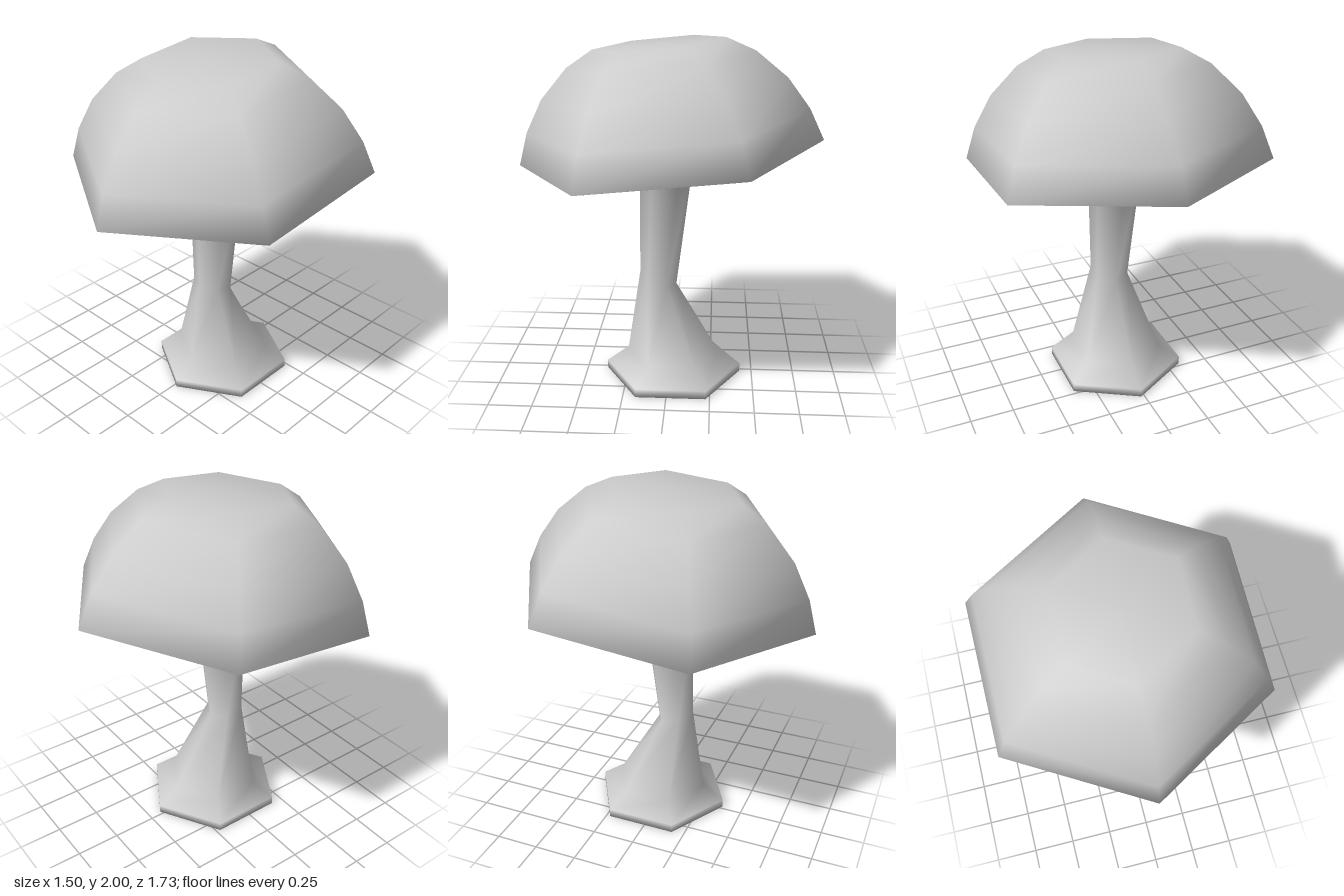
import * as THREE from 'three';

const SIDES = 6;

// Smooth skin through six-sided rings, listed from the lower end to the upper one.
// Ring: { r, x, y, z, tilt } with tilt turning the ring about the x axis.
function loft(rings, closeStart, closeEnd) {
  const positions = [];
  const index = [];
  for (const { r, x = 0, y, z = 0, tilt = 0 } of rings) {
    for (let k = 0; k < SIDES; k++) {
      const a = (k / SIDES) * Math.PI * 2;
      const d = r * Math.cos(a);
      positions.push(x + r * Math.sin(a), y - d * Math.sin(tilt), z + d * Math.cos(tilt));
    }
  }
  for (let i = 0; i < rings.length - 1; i++) {
    for (let k = 0; k < SIDES; k++) {
      const n = (k + 1) % SIDES;
      const a = i * SIDES + k, b = i * SIDES + n;
      index.push(a, b, b + SIDES, a, b + SIDES, a + SIDES);
    }
  }
  const close = (i, up) => {
    const { x = 0, y, z = 0 } = rings[i];
    const centre = positions.length / 3;
    positions.push(x, y, z);
    for (let k = 0; k < SIDES; k++) {
      const a = i * SIDES + k, b = i * SIDES + ((k + 1) % SIDES);
      if (up) index.push(centre, a, b);
      else index.push(centre, b, a);
    }
  };
  if (closeStart) close(0, false);
  if (closeEnd) close(rings.length - 1, true);

  const geometry = new THREE.BufferGeometry();
  geometry.setAttribute('position', new THREE.Float32BufferAttribute(positions, 3));
  geometry.setIndex(index);
  geometry.computeVertexNormals();
  return geometry;
}

export function createModel() {
  const group = new THREE.Group();
  const material = new THREE.MeshStandardMaterial({ color: 0xcccccc, side: THREE.DoubleSide });
  const add = (name, geometry) => {
    const mesh = new THREE.Mesh(geometry, material);
    mesh.name = name;
    group.add(mesh);
  };

  // Cap: recessed underside, rim, then the dome, all leaning forward
  const TILT = 0.098;
  const capProfile = [
    [0.29, 0.065], [0.66, 0.03], [0.765, -0.025], [0.867, 0],
    [0.80, 0.183], [0.69, 0.364], [0.525, 0.527], [0.37, 0.613],
  ];
  const capRings = capProfile.map(([r, h]) => ({
    r, y: 1.355 + h * Math.cos(TILT), z: h * Math.sin(TILT), tilt: TILT,
  }));
  add('cap', loft(capRings, false, true));

  // Stem: flat foot, flared base, slim waist, and a flare that meets the underside
  add('stem', loft([
    { r: 0.403, x: 0.02, y: 0, z: -0.025 },
    { r: 0.403, x: 0.02, y: 0.05, z: -0.025 },
    { r: 0.275, x: 0.02, y: 0.13, z: -0.025 },
    { r: 0.113, x: 0.02, y: 0.605, z: 0.065, tilt: -0.32 },
    { r: 0.15, x: 0.005, y: 1.245, z: 0.02, tilt: TILT },
    capRings[0],
  ], true, false));

  return group;
}
